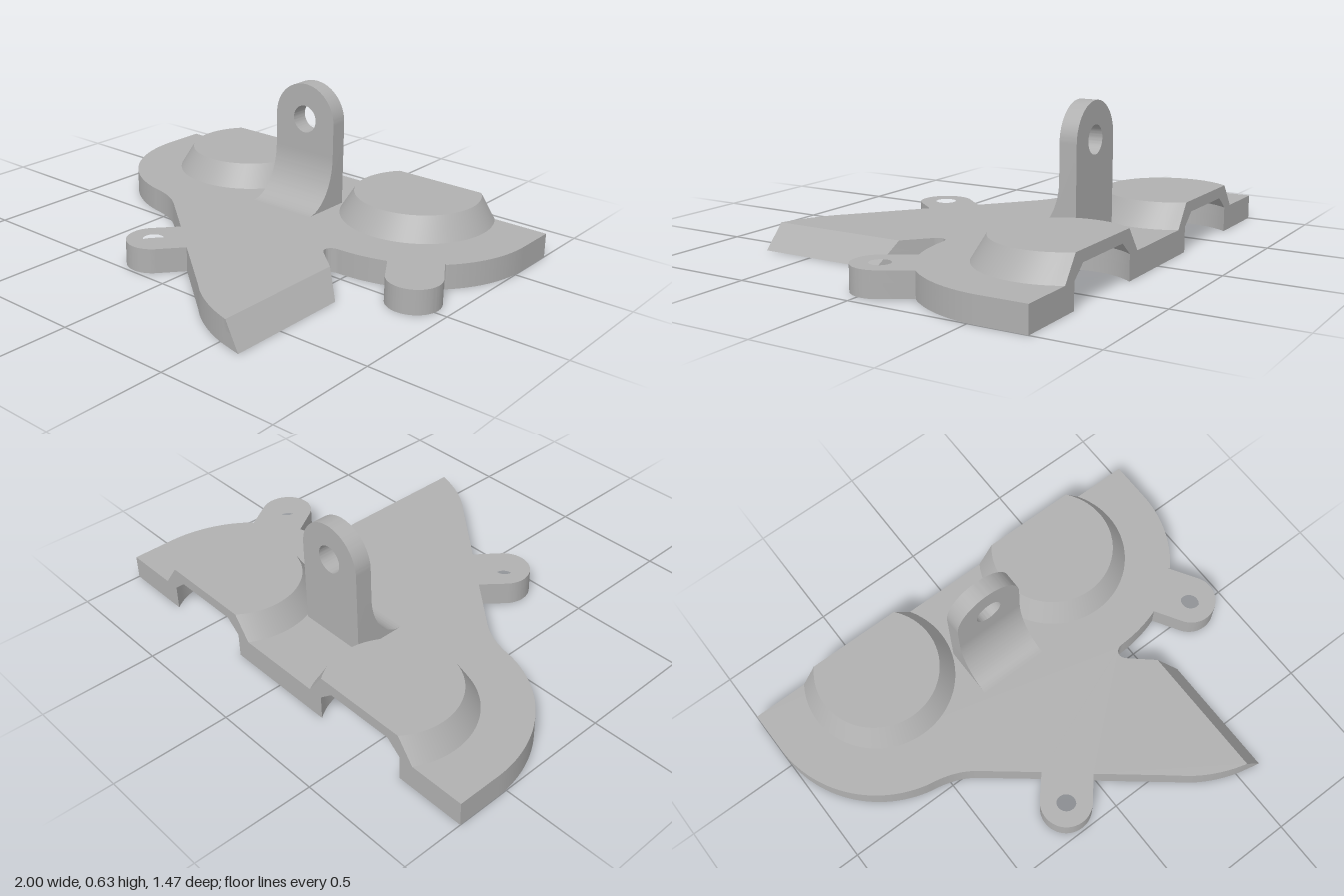
import * as THREE from 'three';
import { mergeGeometries, toCreasedNormals } from 'three/addons/utils/BufferGeometryUtils.js';

const PLATE_H = 0.105, BACK = -0.735;
const POD_X = 0.475, POD_Z = -0.565, POCKET_R = 0.276;
const TABS = [[-0.175, 0.375], [0.835, -0.02]];
const CUT = POD_Z - BACK; // distance from pod centre to the flat back edge

const circle = (x, y, r) => new THREE.Path().absarc(x, y, r, 0, Math.PI * 2, true);

// Plate outline; shape y is world z
function plateOutline() {
  const s = new THREE.Shape();
  const a = Math.asin(CUT / POCKET_R), half = POCKET_R * Math.cos(a);
  s.moveTo(-1, BACK);
  s.lineTo(-1, -0.55);
  s.absarc(-0.475, -0.55, 0.525, Math.PI, 1.8, true);
  s.bezierCurveTo(-0.51, -0.025, -0.45, -0.005, -0.39, 0.042);
  s.lineTo(-0.18, 0.21);
  // front tab
  s.absarc(...TABS[0], 0.112, 3.8, 0.66, true);
  s.lineTo(-0.01, 0.35);
  // wedge-shaped nose
  s.lineTo(0.27, 0.575);
  s.bezierCurveTo(0.34, 0.64, 0.44, 0.69, 0.53, 0.712);
  s.lineTo(0.61, 0.73);
  s.lineTo(0.61, 0.175);
  s.lineTo(0.435, 0.028);
  s.bezierCurveTo(0.4, -0.002, 0.42, -0.038, 0.46, -0.038);
  s.quadraticCurveTo(0.57, -0.04, 0.67, -0.075);
  // side tab
  s.absarc(...TABS[1], 0.112, 2.6, -0.54, true);
  s.lineTo(0.855, -0.2);
  s.absarc(0.475, -0.55, 0.525, 0.74, 0, true);
  s.lineTo(1, BACK);
  // two pockets open to the back
  for (const x of [POD_X, -POD_X]) {
    s.lineTo(x + half, BACK);
    s.absarc(x, POD_Z, POCKET_R, -a, Math.PI + a, false);
  }
  s.lineTo(-1, BACK);
  for (const [x, z] of TABS) s.holes.push(circle(x, z, 0.043));
  return s;
}

// One slab of the plate, with the nose edge sloping inward as it rises
function plateLayer(y0, y1, boreR) {
  const shape = plateOutline();
  shape.holes.push(circle(0, -0.38, boreR));
  const g = new THREE.ExtrudeGeometry(shape, { depth: y1 - y0, bevelEnabled: false, curveSegments: 28 });
  g.rotateX(Math.PI / 2).translate(0, y1, 0);
  const p = g.attributes.position;
  for (let i = 0; i < p.count; i++) {
    const x = p.getX(i), z = p.getZ(i), k = p.getY(i) / PLATE_H;
    if (x > 0.6 && z > 0.12) {
      p.setX(i, x - 0.075 * k);
      p.setZ(i, z - (z < 0.4 ? 0.06 : 0.016) * k);
    }
  }
  return toCreasedNormals(g, 0.5);
}

// Arc of radius r clipped at the back plane, or the straight chord across it
function podRow({ r, y, chord }, n) {
  const a = Math.asin(CUT / r), half = r * Math.cos(a);
  return Array.from({ length: n + 1 }, (_, i) => {
    const t = i / n, th = -a + (Math.PI + 2 * a) * t;
    return chord ? [half * (1 - 2 * t), y, -CUT] : [r * Math.cos(th), y, r * Math.sin(th)];
  });
}

function podBand(from, to) {
  const n = 48, pos = [], idx = [];
  const lo = podRow(from, n), hi = podRow(to, n);
  for (let i = 0; i <= n; i++) pos.push(...lo[i], ...hi[i]);
  for (let i = 0; i < n; i++) {
    const a = 2 * i, d = a + 1, b = a + 2, c = a + 3;
    idx.push(a, d, b, b, d, c);
  }
  const g = new THREE.BufferGeometry();
  g.setAttribute('position', new THREE.Float32BufferAttribute(pos, 3));
  g.setIndex(idx);
  g.computeVertexNormals();
  return g.toNonIndexed();
}

// Hollow truncated cone cut flat at the back
function podGeometry() {
  const top = 0.205, ceiling = 0.158;
  const outer = [{ r: 0.33, y: PLATE_H }, { r: 0.27, y: top }, { r: 0.27, y: top, chord: true }];
  const inner = [{ r: 0.23, y: ceiling, chord: true }, { r: 0.23, y: ceiling }, { r: POCKET_R, y: PLATE_H }];
  const bands = [];
  for (const rows of [outer, inner])
    for (let i = 0; i < 2; i++) bands.push(podBand(rows[i], rows[i + 1]));
  // cut face
  const pt = (r, y, s) => new THREE.Vector2(s * Math.sqrt(r * r - CUT * CUT), y);
  const cut = new THREE.ShapeGeometry(new THREE.Shape([
    pt(0.33, PLATE_H, 1), pt(0.27, top, 1), pt(0.27, top, -1), pt(0.33, PLATE_H, -1),
    pt(POCKET_R, PLATE_H, -1), pt(0.23, ceiling, -1), pt(0.23, ceiling, 1), pt(POCKET_R, PLATE_H, 1),
  ])).rotateY(Math.PI).translate(0, 0, -CUT).toNonIndexed();
  cut.deleteAttribute('uv');
  return mergeGeometries([...bands, cut]);
}

// Upright lug with rounded top and eye
function lugGeometry() {
  const w = 0.157, s = new THREE.Shape();
  s.moveTo(-w, PLATE_H);
  s.lineTo(w, PLATE_H);
  s.lineTo(w, 0.475);
  s.absarc(0, 0.475, w, 0, Math.PI, false);
  s.lineTo(-w, PLATE_H);
  s.holes.push(circle(0, 0.475, 0.06));
  const g = new THREE.ExtrudeGeometry(s, { depth: 0.075, bevelEnabled: false, curveSegments: 32 });
  return toCreasedNormals(g.translate(0, 0, -0.455), 0.5);
}

// Curved gusset in front of the lug; shape x is world z
function gussetGeometry() {
  const s = new THREE.Shape();
  s.moveTo(-0.38, PLATE_H);
  s.lineTo(-0.225, PLATE_H);
  s.absellipse(-0.225, 0.33, 0.155, 0.225, -Math.PI / 2, -Math.PI, true);
  s.lineTo(-0.38, PLATE_H);
  const g = new THREE.ExtrudeGeometry(s, { depth: 0.314, bevelEnabled: false, curveSegments: 20 });
  return toCreasedNormals(g.rotateY(-Math.PI / 2).translate(0.157, 0, 0), 0.5);
}

export function createModel() {
  const model = new THREE.Group();
  model.name = 'mountingBracket';
  const grey = new THREE.MeshStandardMaterial({ color: 0xb0b0b0 });
  grey.name = 'grey';
  const add = (name, geometry, parent = model) => {
    const mesh = new THREE.Mesh(geometry, grey);
    mesh.name = name;
    parent.add(mesh);
    return mesh;
  };

  // plate in two slabs, so the bore underneath is stepped
  const plate = new THREE.Group();
  plate.name = 'basePlate';
  model.add(plate);
  add('lowerPlate', plateLayer(0, 0.06, 0.087), plate);
  add('upperPlate', plateLayer(0.06, PLATE_H, 0.045), plate);

  const pod = podGeometry();
  add('leftPod', pod).position.set(POD_X, 0, POD_Z);
  add('rightPod', pod).position.set(-POD_X, 0, POD_Z);

  const bracket = new THREE.Group();
  bracket.name = 'uprightBracket';
  model.add(bracket);
  add('lug', lugGeometry(), bracket);
  add('gusset', gussetGeometry(), bracket);
  return model;
}
